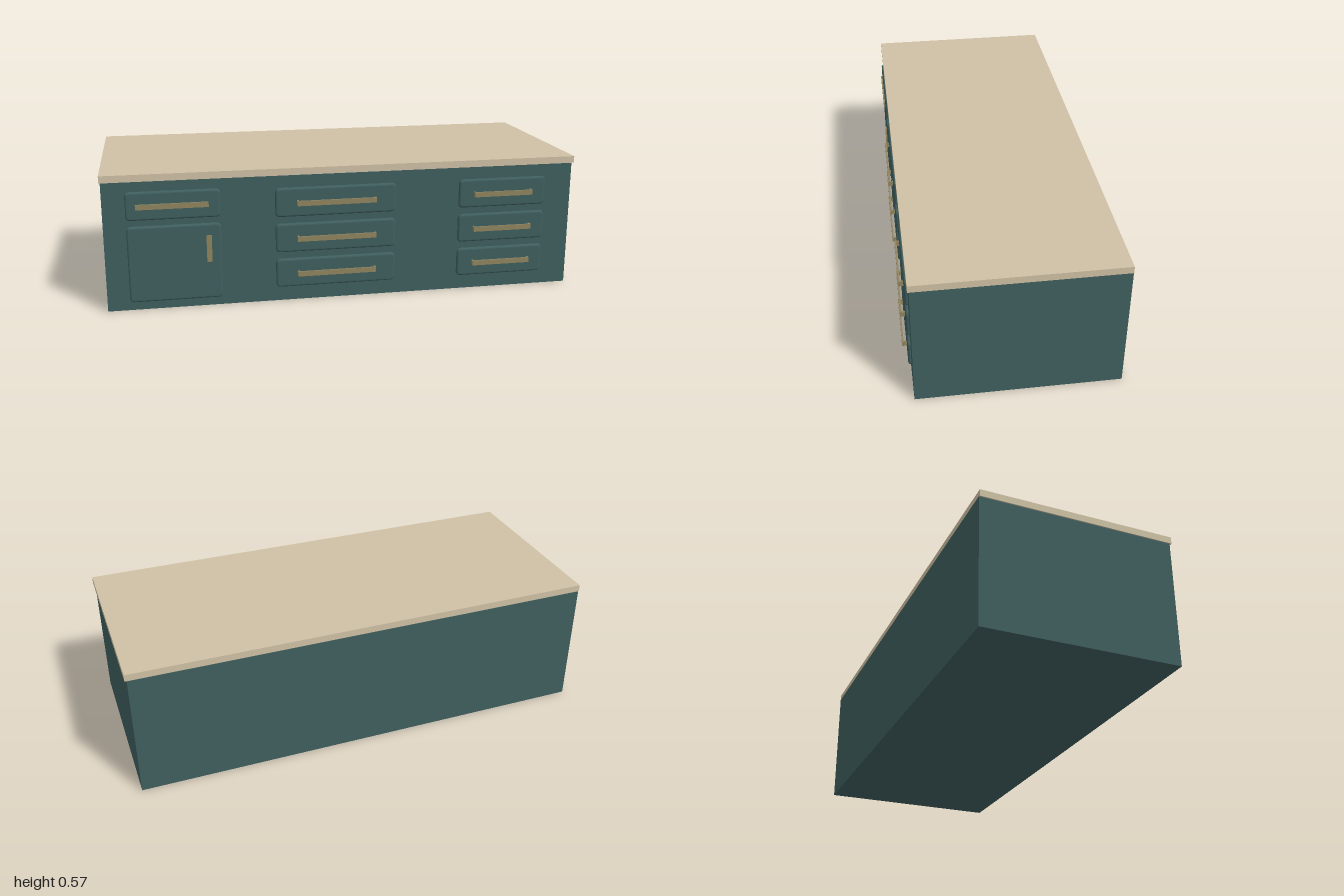
import * as THREE from 'three';

const teal = new THREE.MeshStandardMaterial({ color: 0x3f5f5e });
const wood = new THREE.MeshStandardMaterial({ color: 0xcfc1a5 });
const brass = new THREE.MeshStandardMaterial({ color: 0x8f8560 });

const FACE = 0.394; // z of the cabinet front
const PANEL_DEPTH = 0.012;

function box(name, [x0, x1], [y0, y1], [z0, z1], material) {
  const mesh = new THREE.Mesh(new THREE.BoxGeometry(x1 - x0, y1 - y0, z1 - z0), material);
  mesh.position.set((x0 + x1) / 2, (y0 + y1) / 2, (z0 + z1) / 2);
  mesh.name = name;
  return mesh;
}

// Front panel with rounded corners and a soft front edge
function panel(name, [x0, x1], [y0, y1]) {
  const b = 0.009, r = 0.008;
  const w = (x1 - x0) / 2 - b, h = (y1 - y0) / 2 - b;
  const s = new THREE.Shape();
  s.moveTo(-w + r, -h);
  s.lineTo(w - r, -h);
  s.absarc(w - r, -h + r, r, -Math.PI / 2, 0);
  s.absarc(w - r, h - r, r, 0, Math.PI / 2);
  s.absarc(-w + r, h - r, r, Math.PI / 2, Math.PI);
  s.absarc(-w + r, -h + r, r, Math.PI, Math.PI * 1.5);
  const geometry = new THREE.ExtrudeGeometry(s, {
    depth: 0.006, bevelThickness: b, bevelSize: b, bevelSegments: 4, curveSegments: 4,
  });
  const mesh = new THREE.Mesh(geometry, teal);
  // the back half of the bevel sits inside the cabinet
  mesh.position.set((x0 + x1) / 2, (y0 + y1) / 2, FACE + PANEL_DEPTH - 0.006 - b);
  mesh.name = name;
  return mesh;
}

// Bracket-shaped pull: a bar on two posts, standing out to zFront
function handle(name, length, x, y, zFront, vertical = false) {
  const t = 0.007, depth = zFront - FACE, width = 0.0215;
  const l = length / 2;
  const s = new THREE.Shape();
  [[-l, 0], [-l, -depth], [l, -depth], [l, 0], [l - t, 0], [l - t, t - depth], [t - l, t - depth], [t - l, 0]]
    .forEach(([px, py], i) => (i ? s.lineTo(px, py) : s.moveTo(px, py)));
  const geometry = new THREE.ExtrudeGeometry(s, { depth: width, bevelEnabled: false });
  geometry.translate(0, 0, -width / 2);
  geometry.rotateX(-Math.PI / 2);
  if (vertical) geometry.rotateZ(Math.PI / 2);
  const mesh = new THREE.Mesh(geometry, brass);
  mesh.position.set(x, y, FACE);
  mesh.name = name;
  return mesh;
}

export function createModel() {
  const model = new THREE.Group();
  model.name = 'kitchenCounter';

  // Cabinet and worktop
  model.add(box('cabinet', [-0.995, 0.992], [0, 0.542], [-0.425, FACE], teal));
  model.add(box('worktop', [-1, 1], [0.542, 0.571], [-0.423, 0.4], wood));

  // Left column: one drawer above a door, with shallow pulls
  const leftX = [-0.904, -0.524];
  model.add(panel('leftDrawer', leftX, [0.382, 0.5]));
  model.add(handle('leftDrawerHandle', 0.292, -0.718, 0.439, 0.413));
  model.add(panel('door', leftX, [0.035, 0.356]));
  model.add(handle('doorHandle', 0.112, -0.575, 0.251, 0.413, true));

  // Middle and right columns: three drawers each
  const columns = [
    { name: 'middle', x: [-0.3, 0.209], grip: [-0.211, 0.123] },
    { name: 'right', x: [0.487, 0.872], grip: [0.551, 0.808] },
  ];
  for (const { name, x, grip } of columns) {
    for (let i = 0; i < 3; i++) {
      const y = 0.061 + i * 0.1525;
      const drawer = new THREE.Group();
      drawer.name = `${name}Drawer${i + 1}`;
      drawer.add(panel('drawerFront', x, [y, y + 0.123]));
      drawer.add(handle('drawerHandle', grip[1] - grip[0], (grip[0] + grip[1]) / 2, y + 0.06, 0.425));
      model.add(drawer);
    }
  }
  return model;
}
